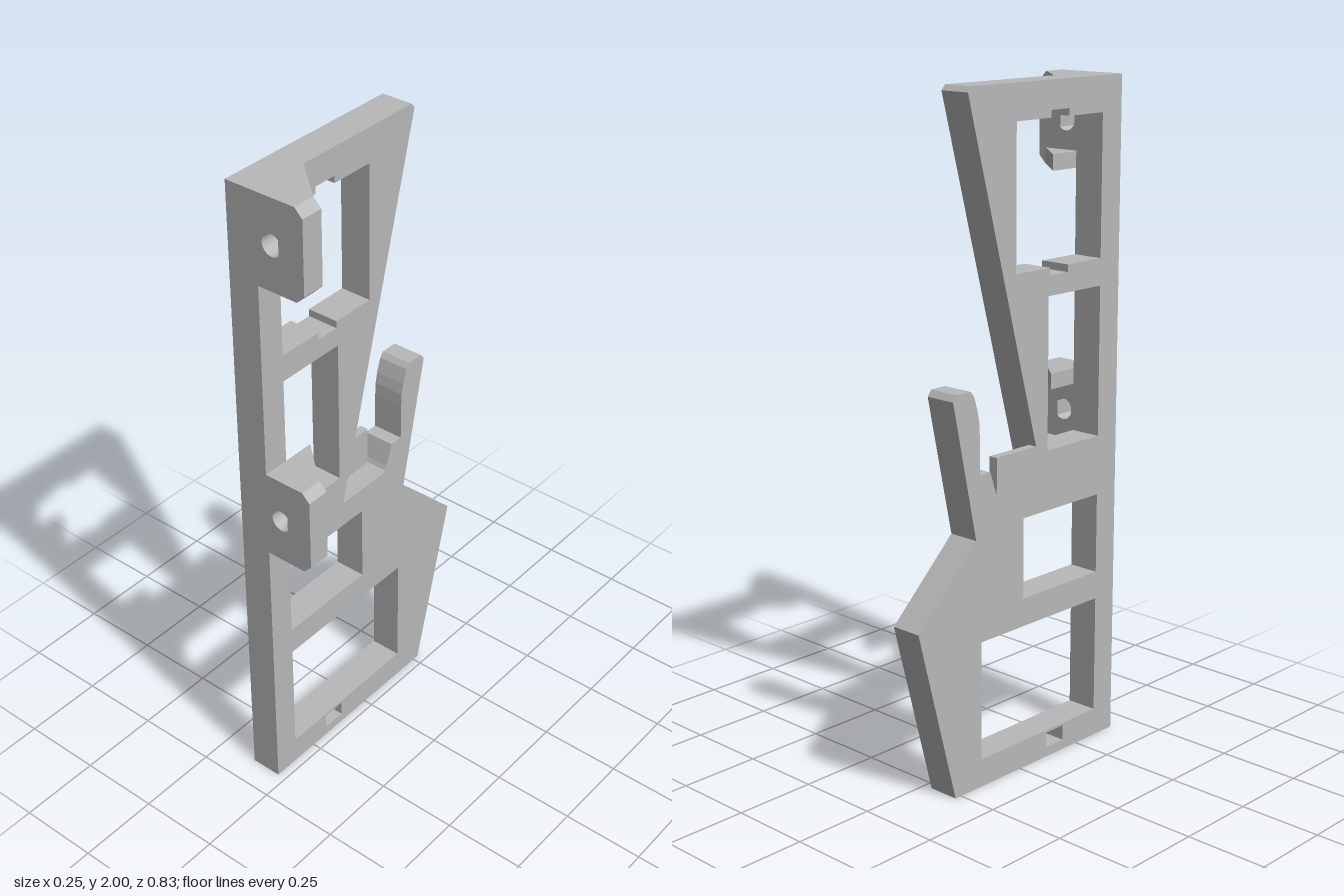
import * as THREE from 'three';

const grey = new THREE.MeshStandardMaterial({ color: 0xb8b8b8 });
grey.name = 'plain grey';

const X0 = -0.125, X1 = -0.028, FRONT = 0.415;

const toPoints = (list) => list.map(([a, b]) => new THREE.Vector2(a, b));
const extrude = (shape, depth) =>
  new THREE.ExtrudeGeometry(shape, { depth, bevelEnabled: false, curveSegments: 12 });

// Side profiles are given as [z, y] and extruded along x from x0 to x1
const sidePoints = (list) => toPoints(list.map(([z, y]) => [-z, y]));
function sidePlate(name, outline, holes, x0, x1) {
  const shape = new THREE.Shape(sidePoints(outline));
  holes.forEach((h) => shape.holes.push(new THREE.Path(sidePoints(h))));
  const geo = extrude(shape, x1 - x0).rotateY(Math.PI / 2).translate(x0, 0, 0);
  const mesh = new THREE.Mesh(geo, grey);
  mesh.name = name;
  return mesh;
}

const rect = (z0, z1, y0, y1) => [[z0, y0], [z1, y0], [z1, y1], [z0, y1]];

// Mounting flange with chamfered corners and a teardrop screw hole
function mountingFlange(y0, y1, gussets) {
  const group = new THREE.Group();
  group.name = 'mountingFlange';
  const c = 0.025, xe = 0.125;
  const shape = new THREE.Shape(toPoints([
    [X1, y0], [xe - c, y0], [xe, y0 + c], [xe, y1 - c], [xe - c, y1], [X1, y1],
  ]));
  const hx = 0.022, hy = (y0 + y1) / 2, r = 0.032;
  const hole = new THREE.Path();
  hole.moveTo(hx + r * 1.35, hy);
  hole.absarc(hx, hy, r, Math.PI / 4, Math.PI * 1.75, false);
  hole.closePath();
  shape.holes.push(hole);
  const tab = new THREE.Mesh(extrude(shape, 0.07).translate(0, 0, FRONT - 0.07), grey);
  tab.name = 'flangeTab';
  group.add(tab);

  // Triangular braces at the top and bottom of the tab
  gussets.forEach(([g0, g1]) => {
    const tri = new THREE.Shape(toPoints([[X1, -0.345], [0.1, -0.345], [X1, -0.233]]));
    const geo = extrude(tri, g1 - g0).rotateX(-Math.PI / 2).translate(0, g0, 0);
    const brace = new THREE.Mesh(geo, grey);
    brace.name = 'flangeBrace';
    group.add(brace);
  });
  return group;
}

export function createModel() {
  const model = new THREE.Group();
  model.name = 'bracket';

  // Main plate with its slanted arm, hook and windows
  const outline = [
    [FRONT, 0], [-0.272, 0], [-0.413, 0.536], [-0.185, 0.752],
    [-0.274, 1.165], [-0.26, 1.183], [-0.206, 1.183], [-0.193, 1.168],
    [-0.179, 1.125], [-0.172, 1.09], [-0.17, 1.05], [-0.17, 0.938],
    [-0.127, 0.938], [-0.105, 0.872], [-0.098, 0.859], [-0.085, 0.853],
    [0.094, 0.853], [-0.213, 1.985], [-0.2, 2], [FRONT, 2],
  ];
  const windows = [
    [[0.333, 1.482], [0.19, 1.482], [0.19, 1.46], [0.115, 1.46], [0.115, 1.482], [-0.025, 1.482],
      [-0.025, 1.897], [0.115, 1.897], [0.115, 1.918], [0.19, 1.918], [0.19, 1.897], [0.333, 1.897]],
    rect(0.333, 0.11, 0.953, 1.402),
    rect(0.333, 0.01, 0.53, 0.773),
    rect(0.333, -0.165, 0.085, 0.445),
    rect(0.19, 0.115, 0.03, 0.077),
  ];
  model.add(sidePlate('mainPlate', outline, windows, X0, X1));

  // Thin wall closing the outer side of the hook gap
  const wall = [[0.094, 0.853], [-0.085, 0.853], [-0.098, 0.859], [-0.102, 0.866],
    [-0.102, 0.975], [0.061, 0.975]];
  model.add(sidePlate('hookGapWall', wall, [], X0, X0 + 0.027));

  model.add(mountingFlange(1.733, 2, [[1.733, 1.78], [1.953, 2]]));
  model.add(mountingFlange(0.873, 1.142, [[0.873, 0.92], [1.095, 1.142]]));
  return model;
}
